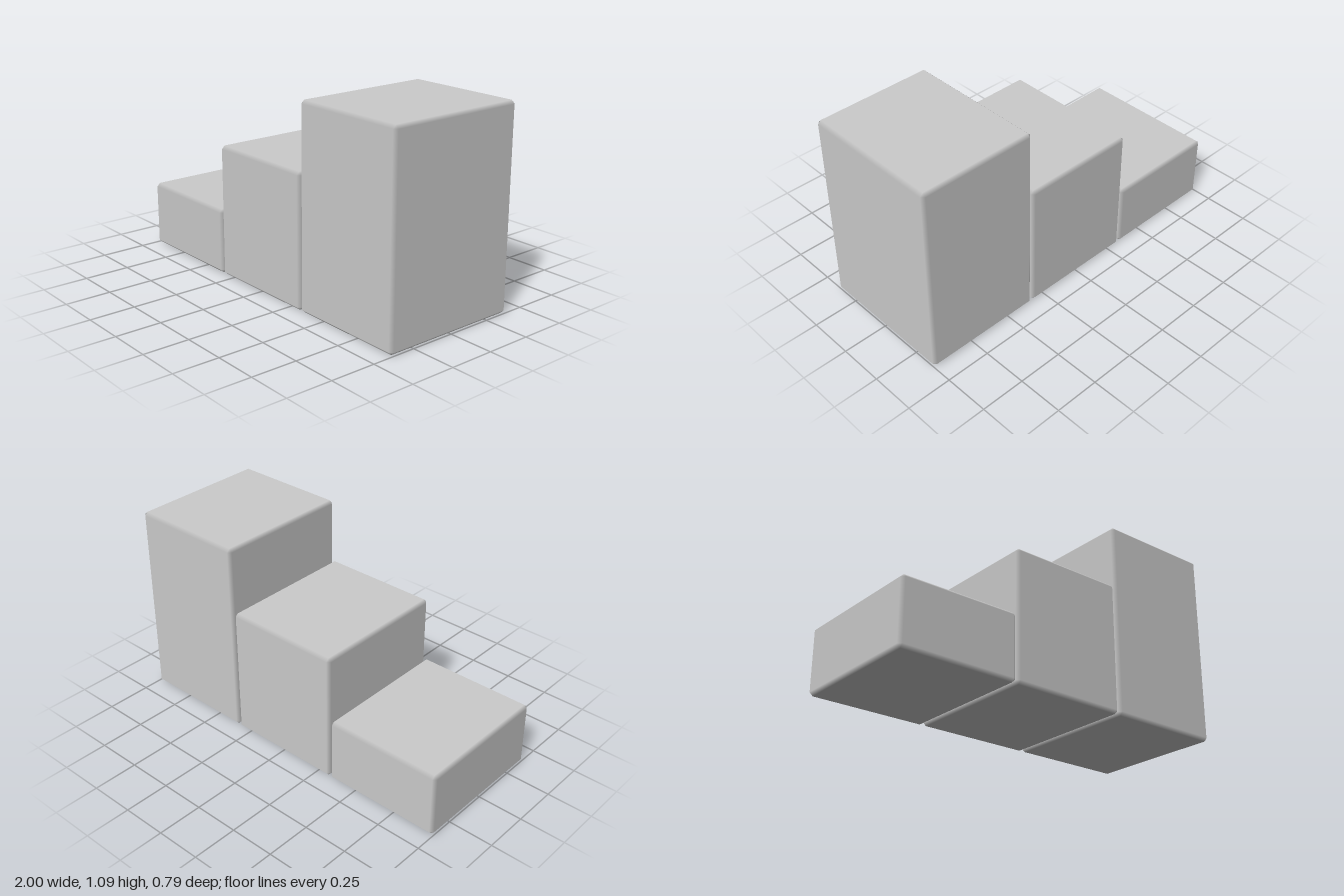
import * as THREE from 'three';
import { ConvexGeometry } from 'three/addons/geometries/ConvexGeometry.js';

const WIDTH = 0.664, DEPTH = 0.788, BEVEL = 0.018, PITCH = 0.668;

// Box with one chamfer per edge; normals follow the main faces so the chamfers shade softly
function bevelledBox(w, h, d) {
  const half = [w / 2, h / 2, d / 2];
  const points = [];
  for (let axis = 0; axis < 3; axis++)
    for (const sx of [-1, 1]) for (const sy of [-1, 1]) for (const sz of [-1, 1]) {
      const c = [sx, sy, sz].map((s, i) => s * (half[i] - (i === axis ? 0 : BEVEL)));
      points.push(new THREE.Vector3(...c));
    }
  const geometry = new ConvexGeometry(points);
  const pos = geometry.attributes.position, normal = geometry.attributes.normal;
  for (let i = 0; i < pos.count; i++) {
    const p = [pos.getX(i), pos.getY(i), pos.getZ(i)];
    const n = p.map((v, k) => (Math.abs(v) > half[k] - BEVEL / 2 ? Math.sign(v) : 0));
    normal.setXYZ(i, ...n);
  }
  return geometry;
}

export function createModel() {
  const group = new THREE.Group();
  group.name = 'steppedBlocks';
  const material = new THREE.MeshStandardMaterial({ color: 0xcccccc });

  // Three blocks rising towards +x
  const blocks = [['lowBlock', 0.363], ['middleBlock', 0.727], ['tallBlock', 1.09]];
  blocks.forEach(([name, height], i) => {
    const block = new THREE.Mesh(bevelledBox(WIDTH, height, DEPTH), material);
    block.name = name;
    block.position.set((i - 1) * PITCH, height / 2, 0);
    group.add(block);
  });
  return group;
}
